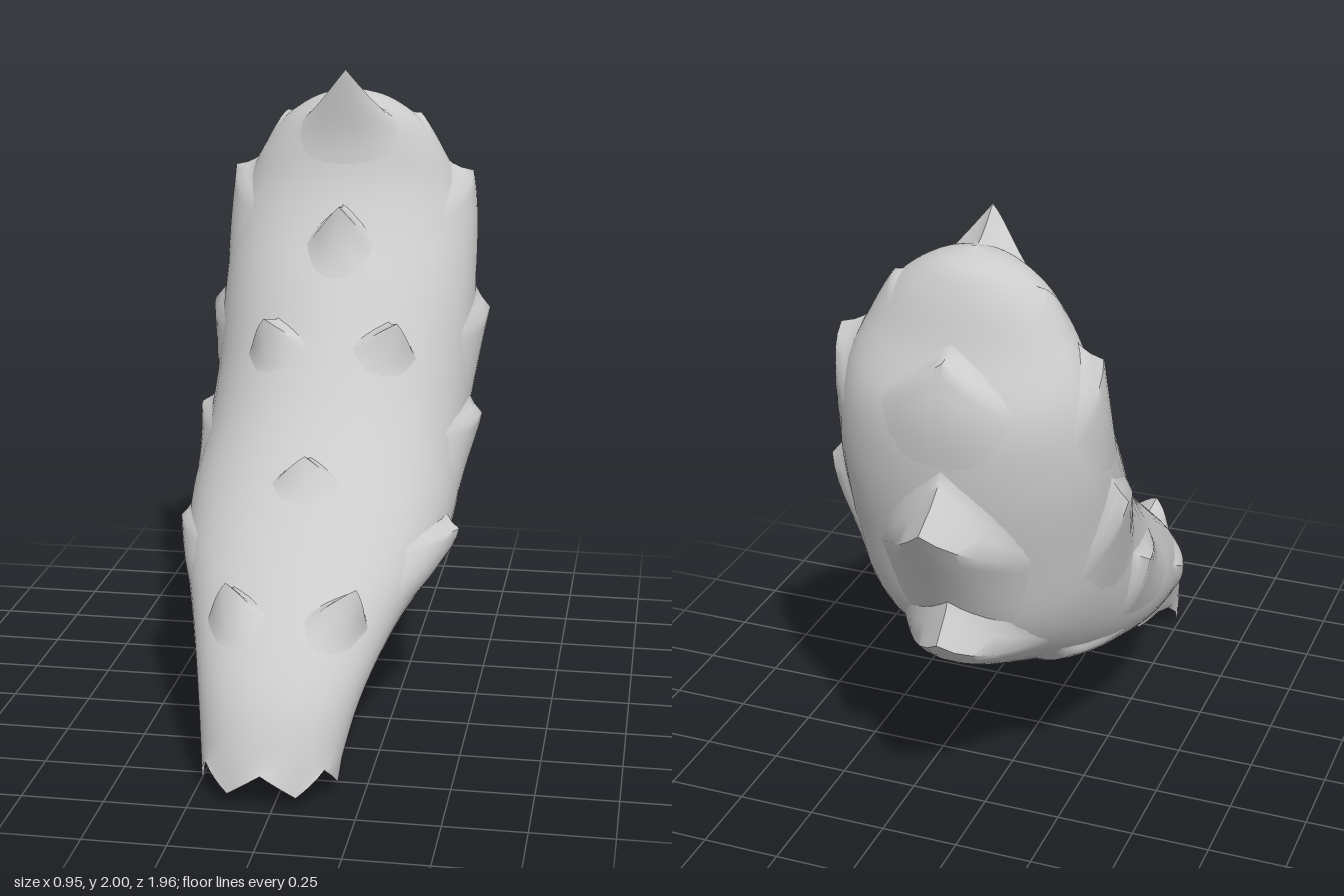
import * as THREE from 'three';
import { toCreasedNormals } from 'three/addons/utils/BufferGeometryUtils.js';

// Cross-sections from the open base to the crown:
// half width, front edge (z, y), back edge (z, y)
const SECTIONS = [
  [0.205, 0.98, 0.07, 0.66, 0.06],
  [0.245, 0.88, 0.30, 0.53, 0.19],
  [0.315, 0.67, 0.52, 0.31, 0.30],
  [0.39, 0.45, 0.69, 0.06, 0.345],
  [0.43, 0.26, 0.84, -0.25, 0.43],
  [0.43, 0.10, 0.99, -0.50, 0.55],
  [0.43, -0.04, 1.16, -0.67, 0.72],
  [0.43, -0.17, 1.33, -0.75, 0.98],
  [0.42, -0.29, 1.48, -0.80, 1.25],
  [0.38, -0.37, 1.62, -0.80, 1.48],
  [0.31, -0.41, 1.75, -0.72, 1.67],
  [0.225, -0.43, 1.84, -0.67, 1.81],
  [0.12, -0.46, 1.90, -0.62, 1.89],
  [0.00, -0.53, 1.925, -0.53, 1.925],
];
const LAST = SECTIONS.length - 1;
const frontCurve = new THREE.CatmullRomCurve3(SECTIONS.map(s => new THREE.Vector3(s[0], s[2], s[1])));
const backCurve = new THREE.CatmullRomCurve3(SECTIONS.map(s => new THREE.Vector3(s[0], s[4], s[3])));

// Point on the body: t = section number, a = angle (0 front, PI/2 left, PI back)
function surface(t, a, scale = 1) {
  const k = THREE.MathUtils.clamp(t / LAST, 0, 1);
  const f = frontCurve.getPoint(k), b = backCurve.getPoint(k);
  const c = Math.cos(a) * 0.5 * scale;
  return new THREE.Vector3(
    f.x * Math.sin(a) * scale - 0.035 * Math.max(0, 1 - t / 6),
    (f.y + b.y) / 2 + (f.y - b.y) * c,
    (f.z + b.z) / 2 + (f.z - b.z) * c);
}

// Grid of points from fn(column, row), optionally wrapped around its columns
function grid(cols, rows, wrap, fn) {
  const pos = [], index = [], stride = wrap ? cols : cols + 1;
  for (let j = 0; j <= rows; j++)
    for (let i = 0; i < stride; i++) pos.push(...fn(i, j).toArray());
  for (let j = 0; j < rows; j++)
    for (let i = 0; i < cols; i++) {
      const n = (i + 1) % stride, a = j * stride + i, b = j * stride + n;
      index.push(a, b, b + stride, a, b + stride, a + stride);
    }
  const g = new THREE.BufferGeometry();
  g.setAttribute('position', new THREE.Float32BufferAttribute(pos, 3));
  g.setIndex(index);
  g.computeVertexNormals();
  return g;
}

// Parameters of the body point closest to p
function nearest(p) {
  let best = Infinity, hit;
  for (let t = 0; t <= LAST - 0.5; t += 0.1)
    for (let i = 0; i < 72; i++) {
      const a = i * Math.PI / 36, d = surface(t, a).distanceToSquared(p);
      if (d < best) { best = d; hit = [t, a]; }
    }
  return hit;
}

// Pointed scale: swells out of the body up to a tip, then sweeps back into the body above it
function scaleGeometry(tip, halfWidth, length) {
  const p = new THREE.Vector3(...tip);
  const [t0, a0] = nearest(p);
  const lift = p.clone().sub(surface(t0, a0));
  const cols = 12, rise = 8, fall = 4;
  const g = grid(cols, rise + fall, false, (i, j) => {
    const u = i / cols * 2 - 1, side = Math.abs(u);
    const v = Math.min(j / rise, 1), drop = Math.max(0, (j - rise) / fall);
    const spread = halfWidth / 0.36 * (0.65 + 0.35 * v);
    const t = t0 - length * (1 - v) - 0.45 * length * side * v + 0.3 * length * drop;
    const across = 0.5 * (1 - side) + 0.5 * (1 - u * u) ** 2;
    const weight = v ** 1.4 * across * (1 - drop) ** 2.5;
    return surface(t, a0 + u * spread, 0.99 - 0.02 * drop).addScaledVector(lift, weight);
  });
  return toCreasedNormals(g, 1.1);
}

export function createModel() {
  const group = new THREE.Group();
  const mat = new THREE.MeshStandardMaterial({ color: 0xcccccc, side: THREE.DoubleSide });
  const add = (name, geometry) => {
    const mesh = new THREE.Mesh(geometry, mat);
    mesh.name = name;
    group.add(mesh);
  };

  // Hollow curved body with a torn lower rim
  const cols = 48, rows = 65;
  add('body', grid(cols, rows, true, (i, j) => {
    const a = i / cols * Math.PI * 2;
    const p = surface(j / rows * LAST, a);
    if (j === 0) p.y += 0.035 * (Math.abs((i % 8) - 4) / 2 - 1) - (i === 36 ? 0.03 : 0);
    return p;
  }));

  // Scales on the centre line: tip, half width, length in sections
  const centre = [
    ['crownSpike', [0, 2.0, -0.38], 0.26, 2.6],
    ['frontScale', [0, 1.57, -0.24], 0.1, 1.3],
    ['frontScale', [-0.02, 0.88, 0.30], 0.1, 0.7],
    ['backSpike', [0, 1.21, -0.98], 0.22, 2.0],
    ['backSpike', [0, 0.79, -0.87], 0.22, 2.0],
    ['backScale', [0, 1.66, -0.78], 0.22, 1.6],
  ];
  for (const [name, tip, w, l] of centre) add(name, scaleGeometry(tip, w, l));

  // Mirrored pairs of scales
  const pairs = [
    ['FrontScale', [0.22, 1.23, -0.06], 0.1, 0.8],
    ['FrontScale', [0.20, 0.58, 0.66], 0.14, 0.6],
    ['ShoulderScale', [0.41, 1.65, -0.57], 0.22, 2.0],
    ['SideScale', [0.48, 1.19, -0.53], 0.2, 1.7],
    ['SideScale', [0.48, 0.88, -0.30], 0.18, 1.6],
    ['SideScale', [0.455, 0.62, 0.15], 0.16, 1.4],
    ['CrownScale', [0.23, 1.84, -0.57], 0.2, 1.4],
    ['LowerScale', [0.28, 0.58, -0.45], 0.18, 1.6],
    ['LowerScale', [0.29, 0.41, 0.28], 0.12, 1.0],
  ];
  for (const [name, tip, w, l] of pairs)
    for (const s of [1, -1])
      add((s > 0 ? 'left' : 'right') + name, scaleGeometry([tip[0] * s, tip[1], tip[2]], w, l));

  return group;
}
